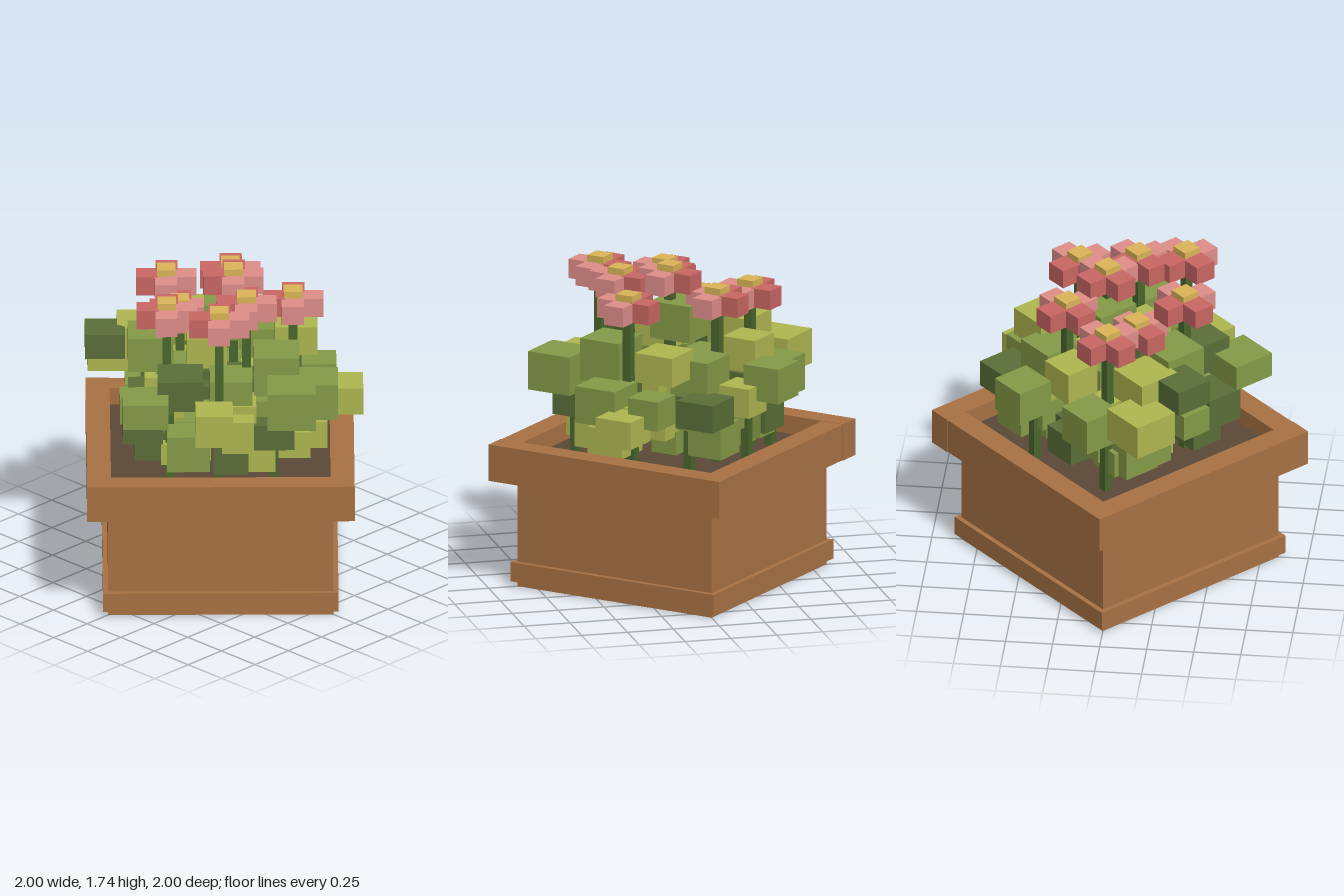
import * as THREE from 'three';

const mat = (name, color) => {
  const m = new THREE.MeshStandardMaterial({ color });
  m.name = name;
  return m;
};

export function createModel() {
  const wood = mat('wood', 0xaa7344), soilMat = mat('soil', 0x5c4a38);
  const stemMat = mat('stem green', 0x4a672d);
  const light = mat('light leaf', 0xb0b850), mid = mat('mid leaf', 0x869c48), dark = mat('dark leaf', 0x5b6f39);
  const red = mat('red petal', 0xcb6864), pink = mat('pink petal', 0xe08f8b), gold = mat('gold centre', 0xdcb658);

  const model = new THREE.Group();
  model.name = 'flowerPlanter';

  const add = (parent, name, material, w, h, d, x, y, z) => {
    const m = new THREE.Mesh(new THREE.BoxGeometry(w, h, d), material);
    m.name = name;
    m.position.set(x, y, z);
    parent.add(m);
    return m;
  };
  // square block standing diagonally, given by its plan centre, half diagonal and height range
  const block = (parent, name, material, x, z, half, y0, y1) => {
    const s = half * Math.SQRT2;
    add(parent, name, material, s, y1 - y0, s, x, (y0 + y1) / 2, z).rotation.y = Math.PI / 4;
  };

  // pot, turned so a corner faces the front
  const pot = new THREE.Group();
  pot.name = 'pot';
  pot.rotation.y = Math.PI / 4;
  model.add(pot);
  add(pot, 'potBody', wood, 1.19, 0.6, 1.19, 0, 0.3, 0);
  add(pot, 'potBaseBand', wood, 1.244, 0.105, 1.244, 0, 0.0825, 0);
  add(pot, 'soil', soilMat, 1.16, 0.1, 1.16, 0, 0.64, 0);
  for (const s of [-1, 1]) {
    add(pot, 'rimLong', wood, 1.414, 0.2, 0.127, 0, 0.69, s * 0.6435);
    add(pot, 'rimShort', wood, 0.127, 0.196, 1.16, s * 0.641, 0.69, 0);
  }

  // large leaf blocks: colour, x, z, half diagonal, bottom, top
  const foliage = new THREE.Group();
  foliage.name = 'foliage';
  model.add(foliage);
  const leaves = [
    [light, -0.18, -0.63, 0.18, 1.06, 1.25], [dark, -0.38, -0.48, 0.15, 1.23, 1.37],
    [light, -0.18, -0.42, 0.17, 1.2, 1.37], [mid, 0.47, -0.42, 0.15, 1.08, 1.27],
    [mid, 0.1, -0.55, 0.15, 1.0, 1.2], [light, 0.22, -0.36, 0.14, 1.18, 1.36],
    [light, 0.45, -0.27, 0.13, 1.0, 1.16], [dark, 0.58, -0.03, 0.16, 0.98, 1.13],
    [light, 0.42, 0.15, 0.16, 1.2, 1.36], [light, 0.52, 0.4, 0.15, 0.9, 1.05],
    [mid, -0.63, 0.07, 0.17, 1.08, 1.22], [dark, -0.4, 0.1, 0.17, 1.12, 1.29],
    [dark, -0.5, -0.08, 0.15, 0.9, 1.08], [light, -0.43, 0.38, 0.14, 1.0, 1.18],
    [mid, -0.06, 0.59, 0.18, 1.06, 1.27], [mid, 0.28, 0.43, 0.17, 0.96, 1.16],
    [mid, -0.3, -0.22, 0.17, 1.22, 1.41], [mid, 0.08, -0.03, 0.17, 1.34, 1.54],
    [mid, 0.07, 0.35, 0.17, 1.13, 1.36], [mid, 0.36, -0.06, 0.16, 1.1, 1.3],
    [light, -0.12, 0.02, 0.15, 1.25, 1.42], [mid, 0.5, 0.24, 0.13, 0.98, 1.14],
    [dark, -0.08, 0.48, 0.15, 0.91, 1.05], [light, 0.27, 0.38, 0.15, 0.78, 0.93],
    [mid, -0.42, 0.18, 0.16, 0.8, 1.0], [mid, 0.5, -0.1, 0.14, 0.8, 0.98],
    [mid, -0.1, -0.46, 0.15, 0.8, 1.0], [dark, 0.2, -0.42, 0.14, 0.84, 1.0],
    [light, -0.28, 0.41, 0.12, 0.92, 1.1], [mid, -0.2, 0.28, 0.16, 1.1, 1.28],
  ];
  for (const [m, x, z, half, y0, y1] of leaves) block(foliage, 'leafBlock', m, x, z, half, y0, y1);

  // small blocks filling the bush down to the rim
  let seed = 7;
  const rnd = () => (seed = (seed * 16807) % 2147483647) / 2147483647;
  for (let i = 0; i < 72; i++) {
    const a = i * 2.4, r = 0.47 * Math.sqrt((i + 0.5) / 72);
    const y = 0.77 + rnd() * (0.48 - 0.6 * r);
    const half = 0.085 + rnd() * 0.05;
    block(foliage, 'innerLeafBlock', [mid, light, mid, light, dark][i % 5],
      r * Math.cos(a), r * Math.sin(a), half, y, y + half * 1.2);
  }

  // stalks carrying the leaves
  for (const [x, z] of [[-0.43, 0.05], [0.45, 0.02], [0.02, -0.53], [-0.1, 0.5], [0.34, 0.3], [0.42, -0.3]]) {
    block(foliage, 'leafStalk', stemMat, x, z, 0.032, 0.68, 1.05);
  }

  // flowers: x, z and top height
  const flowers = [
    [0.02, -0.42, 1.61], [-0.11, -0.19, 1.55], [0.26, -0.18, 1.65], [-0.35, -0.05, 1.65],
    [0.07, 0.03, 1.74], [-0.32, 0.31, 1.7], [-0.07, 0.265, 1.7], [0.245, 0.3, 1.64],
  ];
  for (const [x, z, top] of flowers) {
    const flower = new THREE.Group();
    flower.name = 'flower';
    flower.position.set(x, 0, z);
    model.add(flower);
    block(flower, 'flowerStem', stemMat, 0, 0, 0.033, 0.68, top - 0.07);
    block(flower, 'flowerCentre', gold, 0, 0, 0.07, top - 0.085, top);
    for (const sx of [-1, 1]) {
      block(flower, 'backPetal', red, sx * 0.073, -0.07, 0.083, top - 0.14, top - 0.035);
      block(flower, 'frontPetal', pink, sx * 0.073, 0.07, 0.083, top - 0.142, top - 0.037);
    }
  }
  return model;
}
